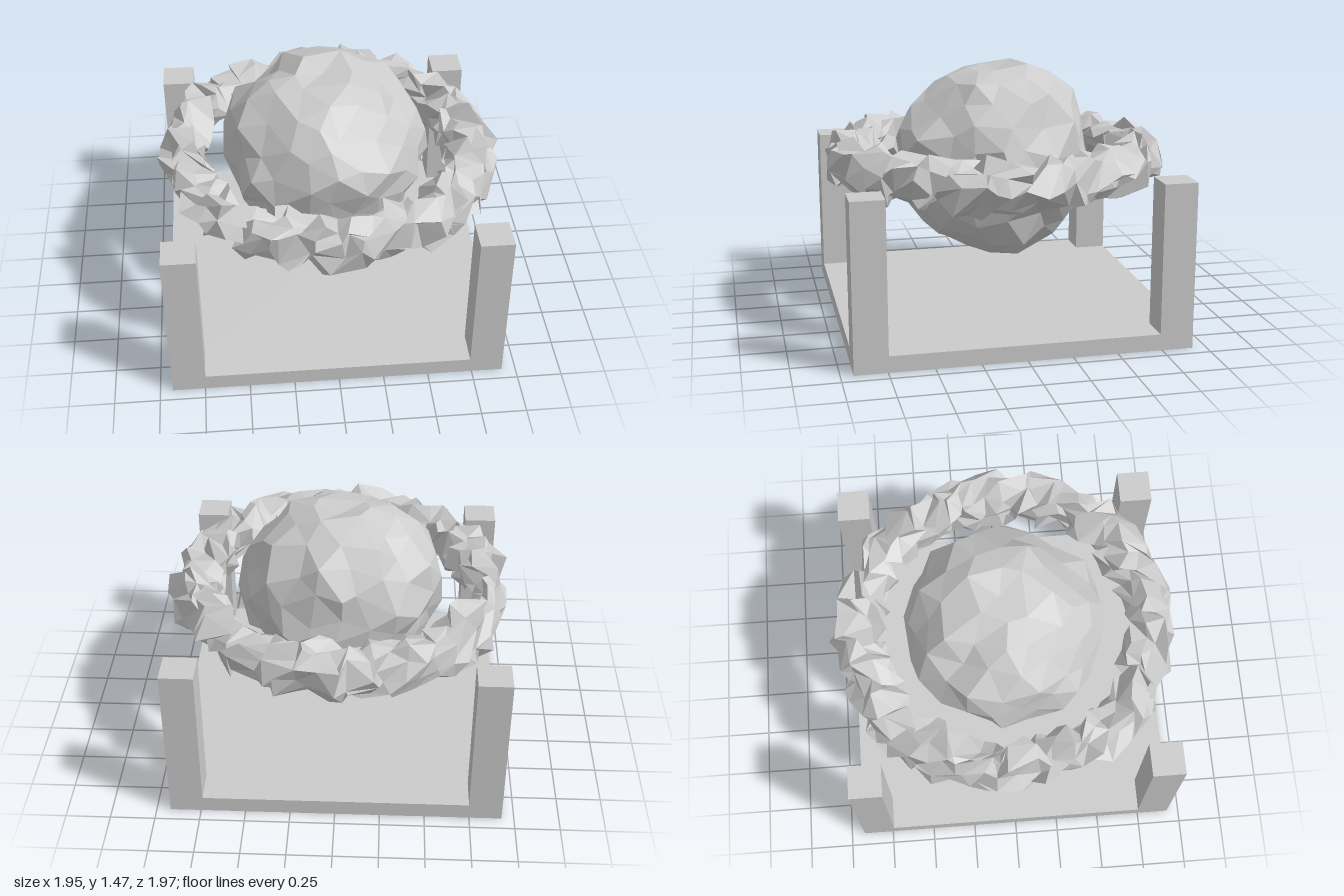
import * as THREE from 'three';
import { mergeVertices } from 'three/addons/utils/BufferGeometryUtils.js';

// Small seeded generator giving values in -1..1
function seeded(seed) {
  let s = seed;
  return () => {
    s = (s * 16807) % 2147483647;
    return (s / 2147483647) * 2 - 1;
  };
}

// Weld a geometry, move every vertex by a rule, then facet it
function roughen(geometry, rule) {
  geometry.deleteAttribute('uv');
  geometry.deleteAttribute('normal');
  const welded = mergeVertices(geometry, 1e-4);
  const pos = welded.attributes.position;
  const v = new THREE.Vector3();
  for (let i = 0; i < pos.count; i++) {
    rule(v.fromBufferAttribute(pos, i));
    pos.setXYZ(i, v.x, v.y, v.z);
  }
  const faceted = welded.toNonIndexed();
  faceted.computeVertexNormals();
  return faceted;
}

export function createModel() {
  const model = new THREE.Group();
  const smoothGrey = new THREE.MeshStandardMaterial({ color: 0xcccccc });
  const rockGrey = new THREE.MeshStandardMaterial({
    color: 0xcccccc, flatShading: true, side: THREE.DoubleSide,
  });

  const add = (name, geometry, material, x, y, z) => {
    const mesh = new THREE.Mesh(geometry, material);
    mesh.name = name;
    mesh.position.set(x, y, z);
    model.add(mesh);
  };

  // Square base plate with four corner posts
  const width = 1.854, plate = 0.092, post = 0.185, postTop = 0.93;
  const baseX = -0.004, baseZ = 0.004;
  add('basePlate', new THREE.BoxGeometry(width, plate, width), smoothGrey, baseX, plate / 2, baseZ);
  const postGeometry = new THREE.BoxGeometry(post, postTop - plate, post);
  const corner = (width - post) / 2;
  for (const sx of [-1, 1]) {
    for (const sz of [-1, 1]) {
      const name = (sz > 0 ? 'front' : 'back') + (sx > 0 ? 'Left' : 'Right') + 'Post';
      add(name, postGeometry, smoothGrey, baseX + sx * corner, (postTop + plate) / 2, baseZ + sz * corner);
    }
  }

  // Floating boulder: jittered sphere, broad above and tapering below
  const bump = seeded(4217);
  const boulder = roughen(new THREE.IcosahedronGeometry(1, 3), (v) => {
    const t = v.y;
    v.multiplyScalar(0.555 + 0.06 * t * (1 - t * t));
    v.x += 0.042 * bump();
    v.y += 0.042 * bump();
    v.z += 0.042 * bump();
  });
  add('boulder', boulder, rockGrey, 0, 0.9, -0.02);

  // Jagged ring of rubble around the boulder
  const chip = seeded(981);
  const torus = new THREE.TorusGeometry(0.825, 0.125, 10, 64).rotateX(-Math.PI / 2);
  const ring = roughen(torus, (v) => {
    v.x += 0.056 * chip();
    v.y += 0.056 * chip();
    v.z += 0.056 * chip();
  });
  add('rubbleRing', ring, rockGrey, 0, 0.935, 0);

  return model;
}
